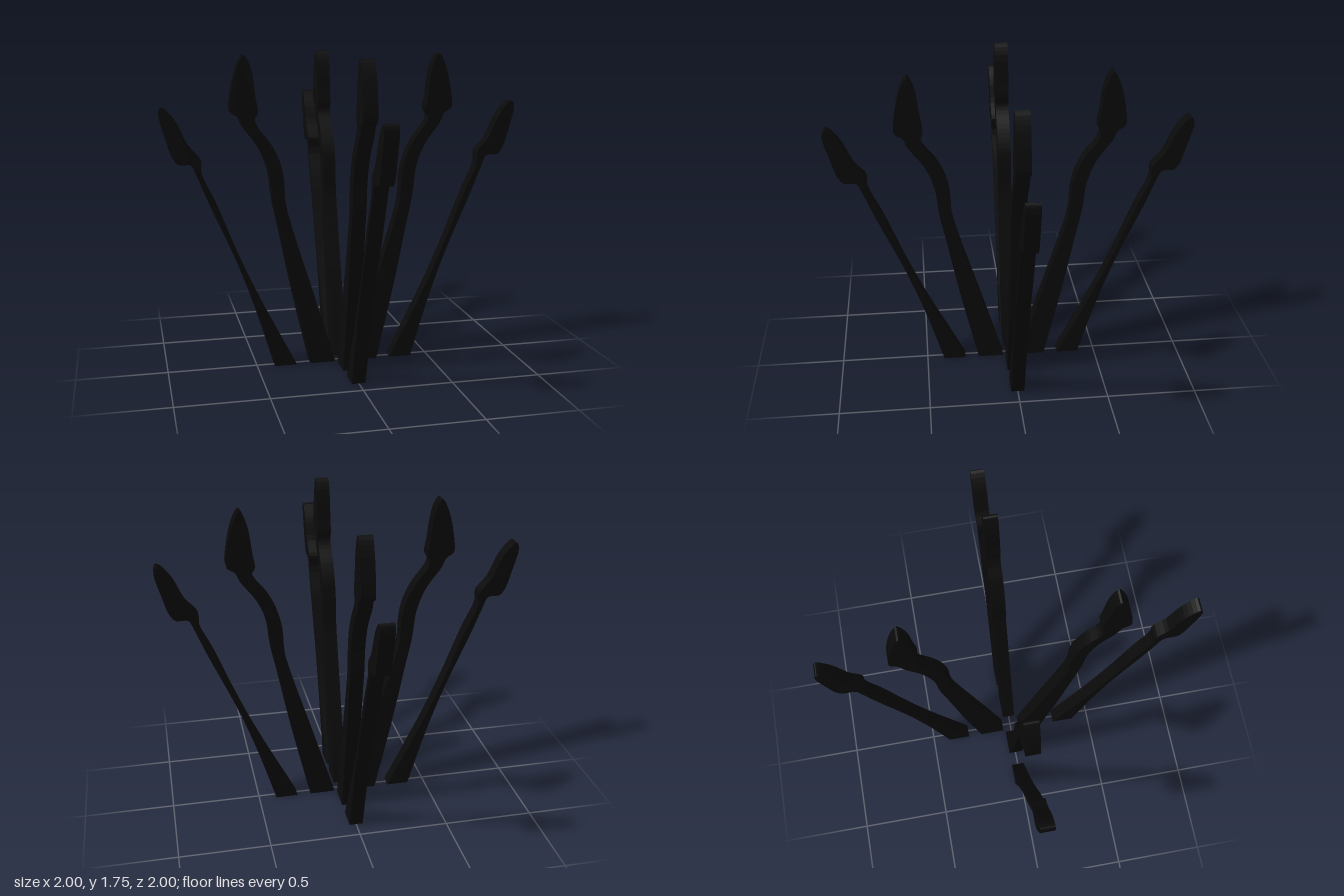
import * as THREE from 'three';

const DEPTH = 0.075;

// Outlines run from the inner foot, up around the bud, down to the outer foot
const TALL_STALK = [
  [0.05, 0], [0.17, 0.4], [0.29, 0.79], [0.328, 0.94], [0.337, 1.08], [0.36, 1.18],
  [0.41, 1.28], [0.475, 1.365], [0.49, 1.41], [0.474, 1.44], [0.484, 1.52], [0.51, 1.69],
  [0.545, 1.752], [0.582, 1.69], [0.62, 1.53], [0.622, 1.45], [0.58, 1.42], [0.557, 1.37],
  [0.47, 1.25], [0.42, 1.12], [0.4, 0.96], [0.365, 0.79], [0.295, 0.44], [0.195, 0],
];
const SHORT_STALK = [
  [0.275, 0], [0.49, 0.43], [0.6, 0.68], [0.71, 0.96], [0.785, 1.13], [0.785, 1.195],
  [0.85, 1.275], [0.915, 1.41], [0.985, 1.48], [1.0, 1.45], [0.97, 1.32], [0.935, 1.21],
  [0.905, 1.175], [0.84, 1.17], [0.81, 1.11], [0.75, 0.96], [0.6, 0.61], [0.5, 0.33], [0.4, 0],
];

function stalkGeometry(outline) {
  const curve = new THREE.CatmullRomCurve3(outline.map(([x, y]) => new THREE.Vector3(x, y, 0)));
  const points = curve.getPoints((outline.length - 1) * 4)
    .map((p) => new THREE.Vector2(Math.min(p.x, 1), Math.max(p.y, 0)));
  const geometry = new THREE.ExtrudeGeometry(new THREE.Shape(points), {
    depth: DEPTH, bevelEnabled: false,
  });
  return geometry.translate(0, 0, -DEPTH / 2);
}

export function createModel() {
  const model = new THREE.Group();
  model.name = 'budStalks';
  const material = new THREE.MeshStandardMaterial({ color: 0x0a0a0a });
  const tall = stalkGeometry(TALL_STALK);
  const short = stalkGeometry(SHORT_STALK);

  // Four identical pairs of flat stalks, a quarter turn apart
  for (let i = 0; i < 4; i++) {
    const pair = new THREE.Group();
    pair.name = `stalkPair${i + 1}`;
    for (const [name, geometry] of [['tallStalk', tall], ['shortStalk', short]]) {
      const mesh = new THREE.Mesh(geometry, material);
      mesh.name = name;
      pair.add(mesh);
    }
    pair.rotation.y = (i * Math.PI) / 2;
    model.add(pair);
  }
  return model;
}
